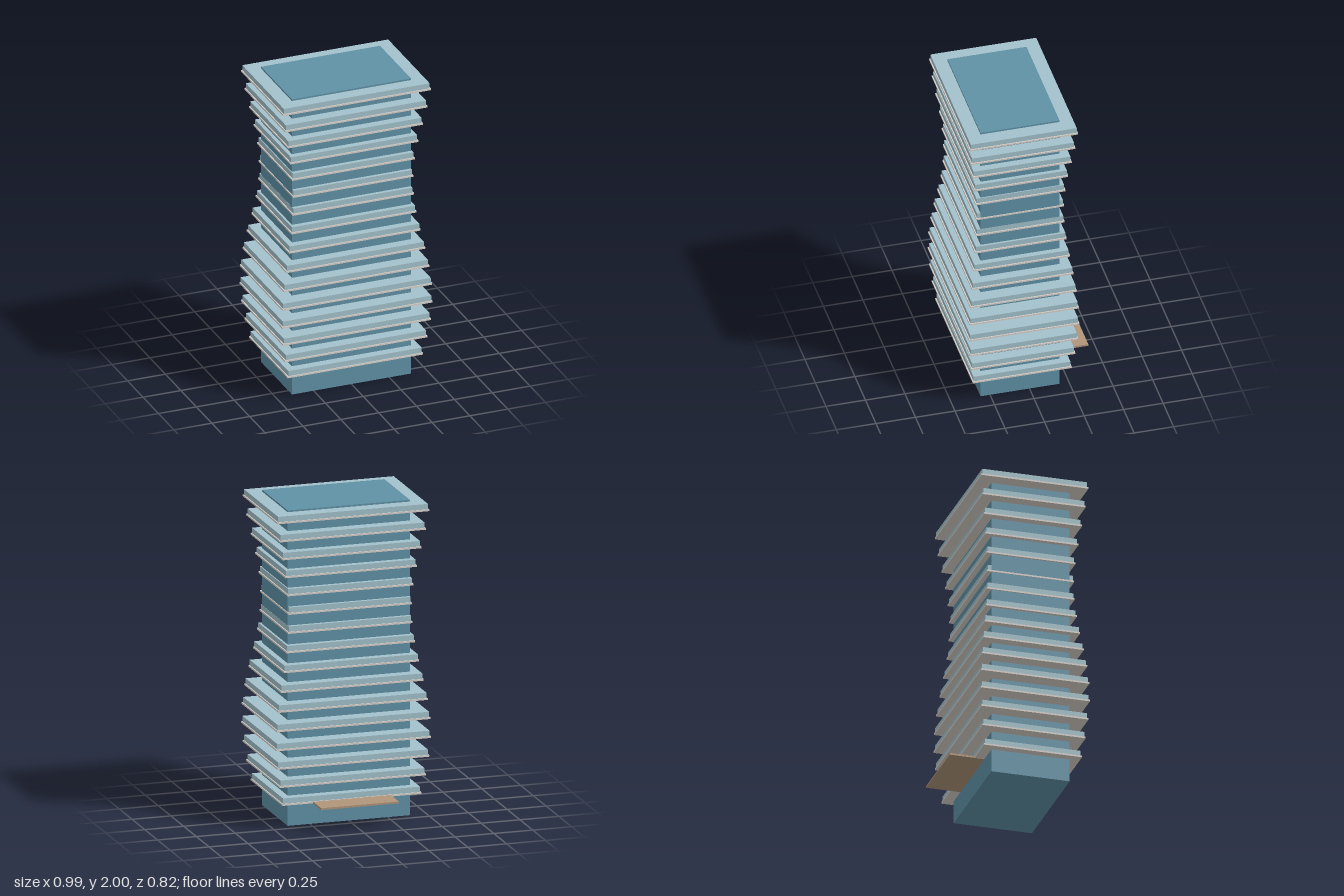
import * as THREE from 'three';

const glass = new THREE.MeshStandardMaterial({ color: 0x6092a6 });
glass.name = 'towerGlass';
const railGlass = new THREE.MeshStandardMaterial({ color: 0xa3c1cb });
railGlass.name = 'balconyGlass';
const concrete = new THREE.MeshStandardMaterial({ color: 0xd8d2cc });
concrete.name = 'paleConcrete';
const timber = new THREE.MeshStandardMaterial({ color: 0xb0957a });
timber.name = 'canopyTimber';

// Box given by its width, depth, bottom and top heights, and centre in z
function block(name, material, width, depth, bottom, top, z) {
  const mesh = new THREE.Mesh(new THREE.BoxGeometry(width, top - bottom, depth), material);
  mesh.position.set(0, (bottom + top) / 2, z);
  mesh.name = name;
  return mesh;
}

export function createModel() {
  const group = new THREE.Group();
  group.name = 'tower';
  const centreZ = 0.06;

  // Glazed core
  group.add(block('core', glass, 0.786, 0.5, 0, 2, centreZ));

  // Floors whose overhang swells and shrinks in a wave up the tower
  const floors = 16;
  for (let i = 0; i < floors; i++) {
    const floor = new THREE.Group();
    floor.name = `balcony${i + 1}`;
    const y = 0.147 + i * 0.1198;
    const half = 0.447 + 0.05 * Math.sin((i * Math.PI * 2) / 13);
    const width = half * 2;
    const depth = width * 0.7;
    floor.add(block('slab', concrete, width, depth, y, y + 0.011, centreZ));
    floor.add(block('balustrade', railGlass, width - 0.013, depth - 0.013, y + 0.011, y + 0.045, centreZ));
    group.add(floor);
  }

  // Entrance canopy at the back
  group.add(block('canopy', timber, 0.5, 0.25, 0.145, 0.157, -0.285));

  return group;
}
